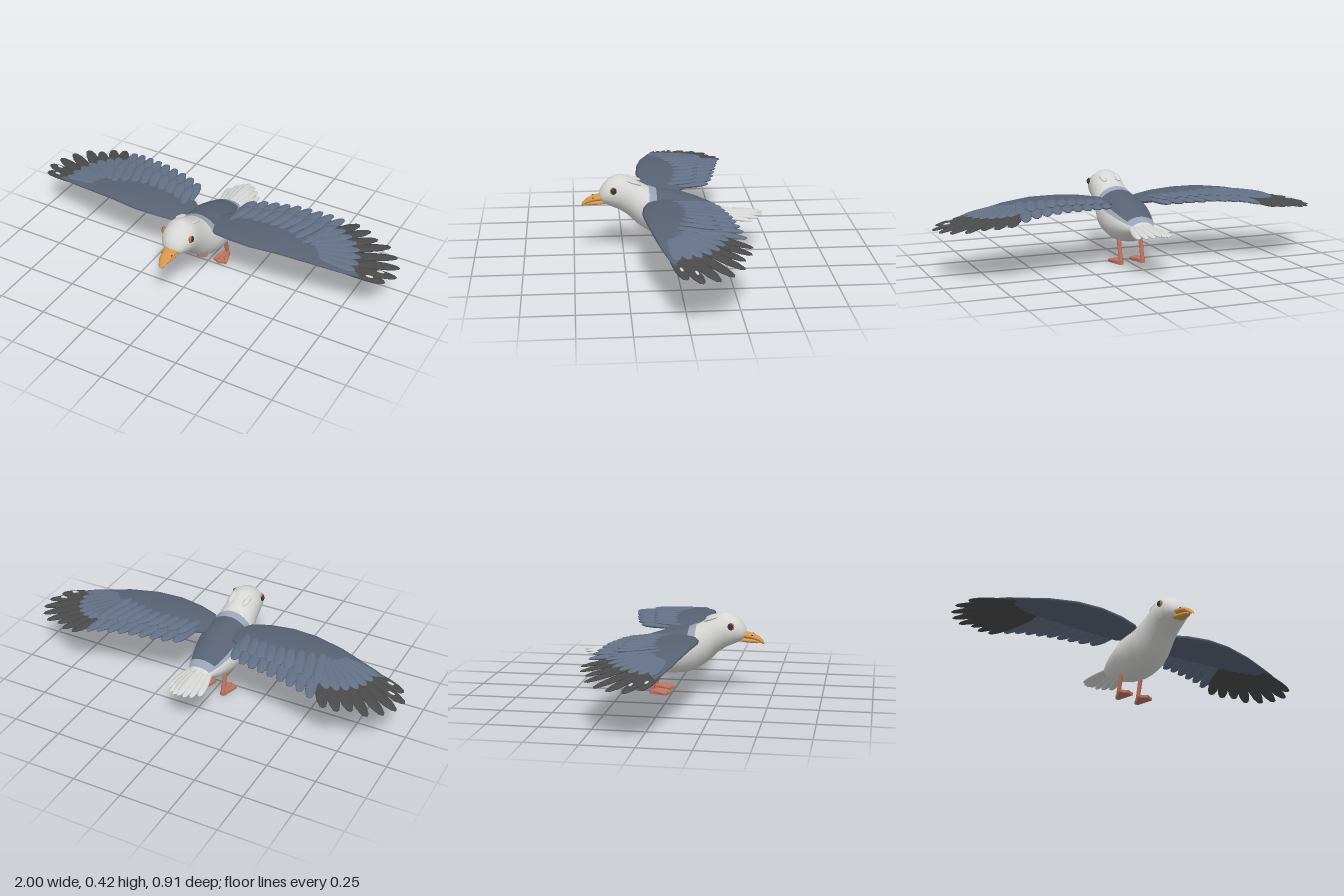
import * as THREE from 'three';

const mat = (name, color) => {
  const m = new THREE.MeshStandardMaterial({ color });
  m.name = name;
  return m;
};

// Linear lookup in rows keyed by their first column (descending or ascending)
function lookup(rows, k) {
  const r = rows[0][0] < rows[rows.length - 1][0] ? rows : [...rows].reverse();
  if (k <= r[0][0]) return r[0];
  for (let i = 1; i < r.length; i++) {
    if (k <= r[i][0]) {
      const t = (k - r[i - 1][0]) / (r[i][0] - r[i - 1][0]);
      return r[i].map((v, j) => THREE.MathUtils.lerp(r[i - 1][j], v, t));
    }
  }
  return r[r.length - 1];
}

// Skin a list of rings of [x, y, z] points
function loft(rings, closed = true, flip = false) {
  const n = rings[0].length, idx = [];
  for (let i = 0; i < rings.length - 1; i++) {
    for (let j = 0; j < (closed ? n : n - 1); j++) {
      const k = (j + 1) % n;
      const a = i * n + j, b = i * n + k, c = a + n, d = b + n;
      if (flip) idx.push(a, c, b, b, c, d);
      else idx.push(a, b, c, b, d, c);
    }
  }
  const g = new THREE.BufferGeometry();
  g.setAttribute('position', new THREE.Float32BufferAttribute(rings.flat(2), 3));
  g.setIndex(idx);
  g.computeVertexNormals();
  return g;
}

// Elliptical ring across z from [z, bottom, top, halfWidth]
function ringZ([z, yb, yt, hw], n = 20, from = 0, to = 2 * Math.PI, grow = 0, closed = true) {
  const ring = [];
  for (let j = 0; j < n; j++) {
    const a = from + (to - from) * j / (closed ? n : n - 1);
    ring.push([(hw + grow) * Math.sin(a), (yb + yt) / 2 + ((yt - yb) / 2 + grow) * Math.cos(a), z]);
  }
  return ring;
}

// Body from the face to the rump: z, bottom, top, half width
const BODY = [
  [0.37, 0.308, 0.322, 0.008], [0.365, 0.293, 0.345, 0.034], [0.35, 0.278, 0.37, 0.056],
  [0.32, 0.264, 0.402, 0.075], [0.27, 0.242, 0.421, 0.086], [0.23, 0.215, 0.415, 0.088],
  [0.18, 0.165, 0.385, 0.093], [0.13, 0.13, 0.356, 0.105], [0.08, 0.108, 0.336, 0.116],
  [0, 0.1, 0.322, 0.123], [-0.05, 0.102, 0.31, 0.12], [-0.11, 0.113, 0.29, 0.108],
  [-0.17, 0.136, 0.264, 0.09], [-0.22, 0.165, 0.24, 0.068], [-0.255, 0.187, 0.222, 0.042],
  [-0.28, 0.203, 0.207, 0.008],
];
const WING_Y = [[0.07, 0.295], [0.2, 0.31], [0.4, 0.323], [0.55, 0.316], [0.7, 0.29], [0.85, 0.268], [1, 0.242]];
const wingY = x => lookup(WING_Y, x)[1];
// Wing arm: x, leading z, trailing z, half thickness
const ARM = [
  [0.07, 0.1, -0.03, 0.012], [0.11, 0.138, -0.06, 0.018], [0.2, 0.16, -0.08, 0.02],
  [0.32, 0.172, -0.09, 0.019], [0.45, 0.16, -0.09, 0.017], [0.6, 0.134, -0.06, 0.014],
  [0.72, 0.105, -0.01, 0.01], [0.8, 0.082, 0.03, 0.007], [0.85, 0.062, 0.055, 0.001],
];

// Flattened blade with rounded ends
const FEATHER = new THREE.LatheGeometry(
  [[0, 0], [0.5, 0.04], [0.76, 0.15], [0.93, 0.4], [1, 0.65], [0.86, 0.83], [0.5, 0.96], [0, 1]]
    .map(p => new THREE.Vector2(...p)), 10);

export function createModel() {
  const plumage = mat('pale plumage', 0xd6d7d4);
  const slate = mat('slate wing', 0x586274);
  const featherSlate = mat('slate feather', 0x637086);
  const band = mat('light slate back', 0x98a4b6);
  const dark = mat('dark wingtip', 0x4a4a4a);
  const orange = mat('orange beak', 0xd6974e);
  const pink = mat('pink leg', 0xc07362);
  const black = mat('dark eye', 0x34383b);
  const ringMat = mat('eye ring', 0xb5783c);
  const model = new THREE.Group();

  const add = (parent, name, geo, material, pos) => {
    const m = new THREE.Mesh(geo, material);
    m.name = name;
    if (pos) m.position.set(...pos);
    parent.add(m);
    return m;
  };
  const group = name => {
    const g = new THREE.Group();
    g.name = name;
    model.add(g);
    return g;
  };
  // Blade from base to tip, flat side up
  const feather = (parent, name, base, tip, width, thick, material) => {
    const a = new THREE.Vector3(...base), dir = new THREE.Vector3(...tip).sub(a);
    const y = dir.clone().normalize();
    const x = new THREE.Vector3().crossVectors(y, new THREE.Vector3(0, 1, 0)).normalize();
    const z = new THREE.Vector3().crossVectors(x, y);
    const m = add(parent, name, FEATHER, material, base);
    m.quaternion.setFromRotationMatrix(new THREE.Matrix4().makeBasis(x, y, z));
    m.scale.set(width / 2, dir.length(), thick / 2);
  };

  add(model, 'body', loft(BODY.map(s => ringZ(s))), plumage);

  // Light back patch with a smaller slate saddle on top
  const saddle = (name, z0, z1, angle, grow, material) => {
    const n = Math.ceil((z0 - z1) / 0.015), rings = [];
    for (let i = 0; i <= n; i++)
      rings.push(ringZ(lookup(BODY, z0 + (z1 - z0) * i / n), 15, -angle, angle, grow, false));
    add(model, name, loft(rings, false), material);
  };
  saddle('backPatch', 0.122, -0.237, 1.1, 0.003, band);
  saddle('backSaddle', 0.085, -0.2, 0.88, 0.006, slate);

  // Beak
  const upper = [[0.459, 0.26, 0.264, 0.005], [0.452, 0.262, 0.282, 0.016], [0.43, 0.277, 0.301, 0.026],
    [0.4, 0.285, 0.315, 0.033], [0.345, 0.291, 0.327, 0.038], [0.32, 0.295, 0.32, 0.03]];
  const lower = [[0.44, 0.266, 0.27, 0.005], [0.42, 0.264, 0.285, 0.018],
    [0.38, 0.267, 0.291, 0.028], [0.345, 0.272, 0.294, 0.034], [0.32, 0.28, 0.292, 0.028]];
  add(model, 'upperBeak', loft(upper.map(s => ringZ(s, 12))), orange);
  add(model, 'lowerBeak', loft(lower.map(s => ringZ(s, 12))), orange);

  // Tail fan
  const tail = group('tail');
  for (let i = -3; i <= 3; i++) {
    const k = Math.abs(i);
    feather(tail, 'tailFeather', [i * 0.013, 0.223 - k * 0.005, -0.19],
      [i * 0.028, 0.206 - k * 0.006, -0.456 + k * k * 0.007], 0.046, 0.02, plumage);
  }

  for (const s of [1, -1]) {
    const side = s > 0 ? 'left' : 'right';

    // Eyes, nostrils and nape tufts
    const ring = add(model, side + 'EyeRing', new THREE.SphereGeometry(0.0185, 16, 12), ringMat, [s * 0.075, 0.358, 0.3]);
    ring.scale.set(0.55, 1, 0.9);
    const eye = add(model, side + 'Eye', new THREE.SphereGeometry(0.016, 16, 12), black, [s * 0.078, 0.359, 0.298]);
    eye.scale.set(0.65, 1, 0.9);
    add(model, side + 'Nostril', new THREE.SphereGeometry(0.003, 8, 6), black, [s * 0.027, 0.3085, 0.4]).scale.z = 1.8;
    feather(model, side + 'NapeTuft', [s * 0.044, 0.401, 0.234], [s * 0.037, 0.376, 0.16], 0.03, 0.016, plumage);

    // Wing arm
    const wing = group(side + 'Wing');
    const rings = ARM.map(([x, lead, trail, h]) => {
      const ringPts = [];
      for (let j = 0; j < 16; j++) {
        const a = j / 16 * 2 * Math.PI;
        ringPts.push([s * x, wingY(x) + h * Math.cos(a), (lead + trail) / 2 + (lead - trail) / 2 * Math.sin(a)]);
      }
      return ringPts;
    });
    add(wing, 'wingArm', loft(rings, true, s < 0), slate);

    const blade = (name, x0, z0, x1, z1, lift, drop, w, t, m) => feather(wing, name,
      [s * x0, wingY(x0) + lift, z0], [s * x1, wingY(x1) + lift - drop, z1], w, t, m);

    // Inner flight feathers and the shorter row above them
    for (let i = 0; i < 9; i++) {
      const t = i / 8;
      blade('innerFlightFeather', 0.13 + t * 0.39, 0, 0.165 + t * 0.445,
        -0.195 - 0.1 * Math.pow(t, 0.7), 0.002, t * 0.014, 0.06, 0.024, featherSlate);
      blade('coverFeather', 0.14 + t * 0.4, 0.03 - 0.05 * Math.sin(t * Math.PI), 0.175 + t * 0.43,
        -0.13 - 0.07 * t, 0.013, t * 0.008, 0.056, 0.017, featherSlate);
    }

    // Long dark wingtip feathers
    const tips = [[0.69, -0.312], [0.755, -0.3], [0.81, -0.262], [0.885, -0.25], [0.945, -0.195],
      [0.983, -0.13], [0.998, -0.055], [0.965, 0.015]];
    tips.forEach(([x, z], i) => {
      const t = i / (tips.length - 1);
      blade('wingtipFeather', 0.55 + t * 0.17, -0.05 + t * 0.12, x, z, -0.004, 0.012 * (1 - t), 0.062, 0.015, dark);
    });
    // Pale spots near the outermost tips
    for (const [x, z] of [[0.92, -0.033], [0.89, 0.032]])
      feather(wing, 'paleSpot', [s * (x - 0.018), wingY(x) + 0.005, z + 0.004],
        [s * (x + 0.018), wingY(x) + 0.002, z - 0.004], 0.014, 0.009, plumage);

    // Slate feathers overlapping the roots of the wingtip
    for (let i = 0; i < 7; i++) {
      const t = i / 6, a = 1.3 - t * 1.35;
      blade('wingtipCover', 0.53 + t * 0.1, -0.01 + t * 0.07, 0.6 + 0.22 * Math.cos(a),
        0.03 - 0.24 * Math.sin(a), 0.009, 0.002, 0.06, 0.014, featherSlate);
    }

    // Leg and webbed foot
    const leg = group(side + 'Leg');
    const hip = new THREE.Vector3(s * 0.058, 0.125, -0.07), ankle = new THREE.Vector3(s * 0.058, 0.012, -0.1);
    const shin = add(leg, 'shin', new THREE.CylinderGeometry(0.011, 0.01, hip.distanceTo(ankle), 12), pink);
    shin.position.lerpVectors(hip, ankle, 0.5);
    shin.quaternion.setFromUnitVectors(new THREE.Vector3(0, 1, 0), hip.clone().sub(ankle).normalize());
    add(leg, 'ankle', new THREE.CylinderGeometry(0.011, 0.012, 0.022, 12), pink, [s * 0.058, 0.011, -0.099]);
    const web = new THREE.Shape();
    [[-0.012, 0.105], [0.012, 0.105], [0.037, 0.02], [0.019, 0.014], [0, 0.002], [-0.019, 0.014], [-0.037, 0.02]]
      .forEach(([x, y], i) => (i ? web.lineTo(x, y) : web.moveTo(x, y)));
    const webGeo = new THREE.ExtrudeGeometry(web, { depth: 0.014, bevelEnabled: false });
    webGeo.rotateX(-Math.PI / 2);
    add(leg, 'web', webGeo, pink, [s * 0.058, 0, 0]);
    for (const k of [-1, 0, 1])
      feather(leg, 'toe', [s * 0.058, 0.016, -0.11],
        [s * 0.058 + k * 0.034, 0.01, k ? -0.016 : 0], 0.022, 0.022, pink);
  }
  return model;
}
